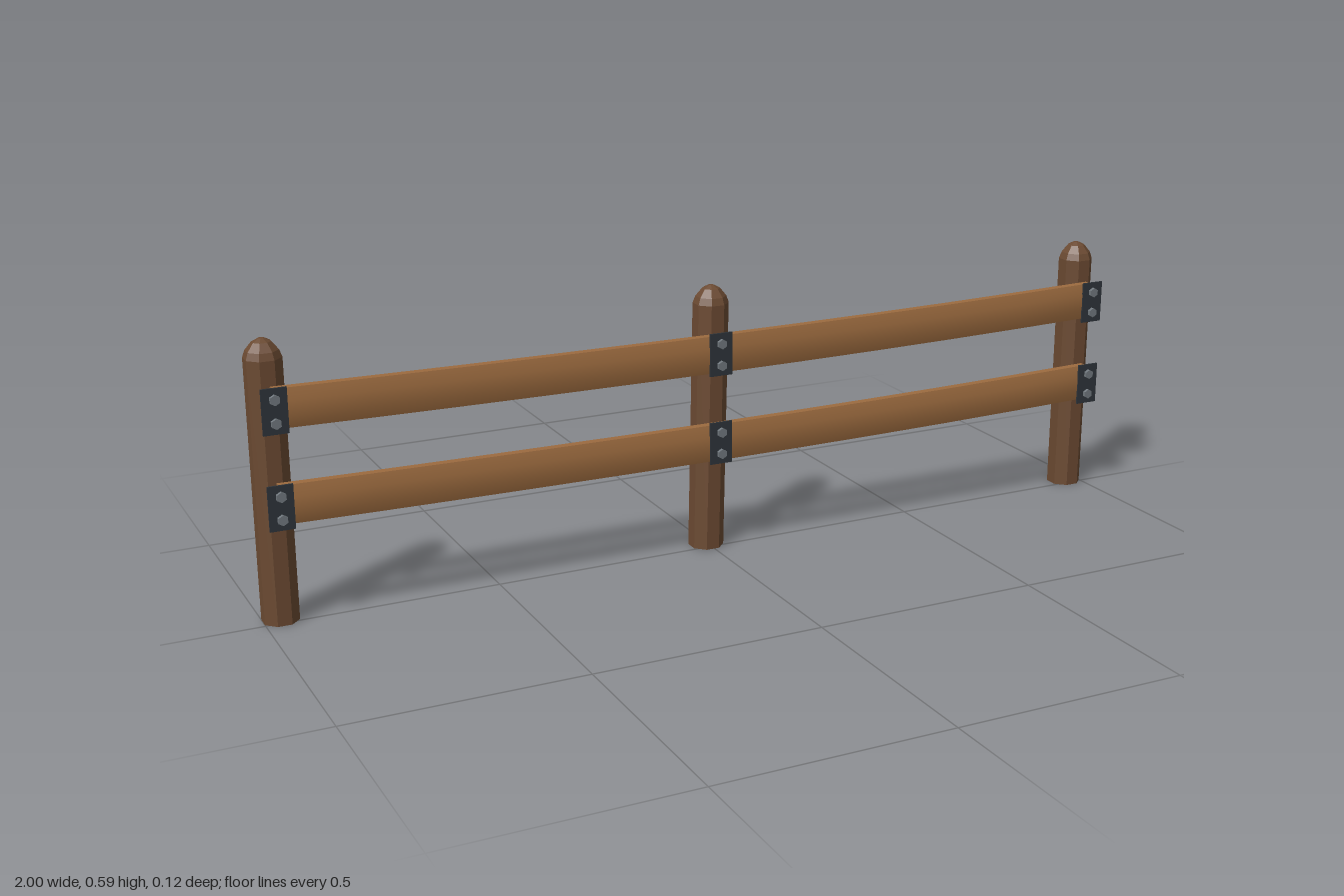
import * as THREE from 'three';
import { toCreasedNormals } from 'three/addons/utils/BufferGeometryUtils.js';

const HALF = 0.964; // distance from centre to the end posts

function material(name, color) {
  const m = new THREE.MeshStandardMaterial({ color });
  m.name = name;
  return m;
}

// Move every vertex of a geometry by a rule
function deform(geometry, rule) {
  const p = geometry.attributes.position;
  const v = new THREE.Vector3();
  for (let i = 0; i < p.count; i++) {
    v.fromBufferAttribute(p, i);
    rule(v);
    p.setXYZ(i, v.x, v.y, v.z);
  }
  return geometry;
}

// Eight-sided post with a rounded top, hollow underneath
function postGeometry(lean) {
  const r = 0.036 / Math.cos(Math.PI / 8);
  const profile = [[r, 0], [r, 0.553], [r * 0.86, 0.568], [r * 0.5, 0.585], [r * 0.15, 0.592], [0, 0.592]]
    .map(([x, y]) => new THREE.Vector2(x, y));
  const g = new THREE.LatheGeometry(profile, 8, Math.PI / 8);
  deform(g, (v) => { v.x += lean * (v.y - 0.18); });
  return toCreasedNormals(g, 0.3);
}

// Chamfered plank that sags in the middle and waves slightly in depth
function railGeometry() {
  const s = new THREE.Shape([
    [-0.009, -0.041], [0.009, -0.041], [0.016, -0.016], [0.016, 0.016],
    [0.009, 0.041], [-0.009, 0.041], [-0.016, 0.016], [-0.016, -0.016],
  ].map(([x, y]) => new THREE.Vector2(x, y)));
  const g = new THREE.ExtrudeGeometry(s, { depth: 2 * HALF, steps: 10, bevelEnabled: false });
  g.translate(0, 0, -HALF).rotateY(Math.PI / 2);
  deform(g, (v) => {
    const t = v.x / HALF;
    v.y -= 0.01 * (1 - t * t);
    v.z += 0.002 * Math.sin(Math.PI * t);
  });
  return toCreasedNormals(g, 0.6);
}

export function createModel() {
  const fence = new THREE.Group();
  fence.name = 'fence';

  const postWood = material('dark wood', 0x6b4a32);
  postWood.side = THREE.DoubleSide;
  const railWood = material('light wood', 0x9c6b3f);
  const iron = material('dark iron', 0x2e343a);
  const steel = material('bolt steel', 0x70777d);

  function add(parent, name, geometry, mat, x, y, z) {
    const mesh = new THREE.Mesh(geometry, mat);
    mesh.name = name;
    mesh.position.set(x, y, z);
    parent.add(mesh);
  }

  // Posts, the middle one leaning a little
  add(fence, 'rightPost', postGeometry(0), postWood, -HALF, 0, -0.021);
  add(fence, 'middlePost', postGeometry(0.022), postWood, 0, 0, -0.021);
  add(fence, 'leftPost', postGeometry(0), postWood, HALF, 0, -0.021);

  // Rails
  const rail = railGeometry();
  const levels = [['lower', 0.266], ['upper', 0.464]];
  for (const [name, y] of levels) add(fence, name + 'Rail', rail, railWood, 0, y, 0.033);

  // Iron plates with two hexagonal bolts where each rail meets a post
  const plate = new THREE.BoxGeometry(0.052, 0.094, 0.004);
  const bolt = toCreasedNormals(new THREE.CylinderGeometry(0.011, 0.011, 0.009, 6).rotateX(Math.PI / 2), 0.3);
  for (const [name, y] of levels) {
    for (const [side, x, drop] of [['Right', -HALF, 0], ['Middle', -0.002, 0.006], ['Left', HALF, 0]]) {
      const bracket = new THREE.Group();
      bracket.name = name + side + 'Bracket';
      bracket.position.set(x, y - 0.002 - drop, 0.05);
      add(bracket, 'plate', plate, iron, 0, 0, 0);
      for (const dy of [-0.024, 0.024]) add(bracket, 'bolt', bolt, steel, 0, dy, 0.005);
      fence.add(bracket);
    }
  }
  return fence;
}
